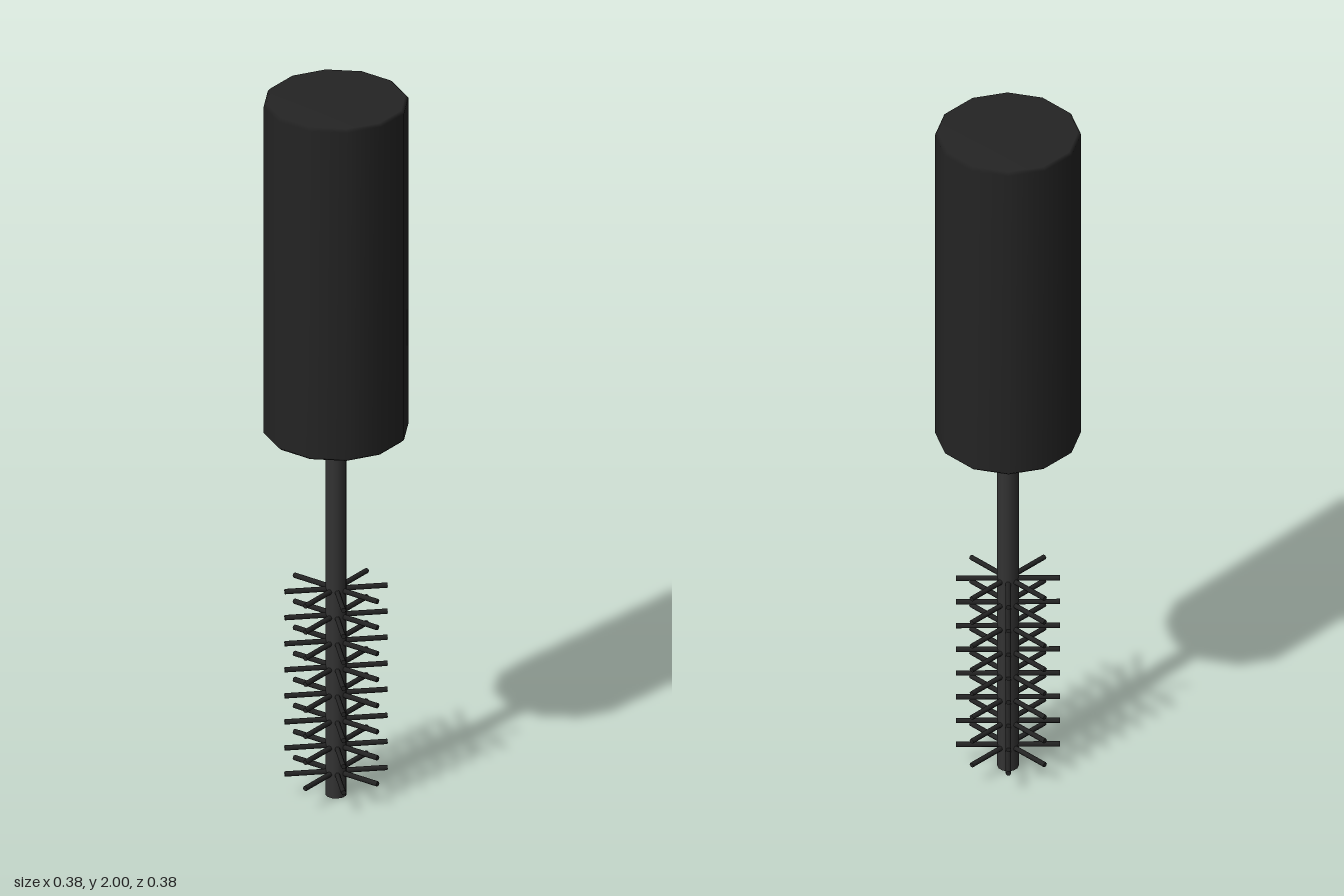
import * as THREE from 'three';

const material = (color) => new THREE.MeshStandardMaterial({ color });

function addMesh(parent, name, geometry, mat) {
  const mesh = new THREE.Mesh(geometry, mat);
  mesh.name = name;
  parent.add(mesh);
  return mesh;
}

export function createModel() {
  const model = new THREE.Group();
  model.name = 'mascaraWand';
  const black = material(0x242424);
  const rodGrey = material(0x333333);

  // Twelve-sided handle cap with a fine chamfer at both ends
  const profile = [
    [0, 1.045], [0.182, 1.045], [0.19, 1.053], [0.19, 1.992], [0.182, 2], [0, 2],
  ].map(([r, y]) => new THREE.Vector2(r, y));
  addMesh(model, 'handleCap', new THREE.LatheGeometry(profile, 12), black);

  // Thin rod running from the tip up into the cap
  const rod = addMesh(model, 'rod', new THREE.CylinderGeometry(0.028, 0.028, 1.06, 12), rodGrey);
  rod.position.y = 0.53;

  // Brush: eight rows of eight bristles radiating from the rod
  const brush = new THREE.Group();
  brush.name = 'brush';
  model.add(brush);
  const length = 0.135;
  const bristle = new THREE.CylinderGeometry(0.007, 0.007, length, 6);
  bristle.rotateZ(-Math.PI / 2).translate(length / 2, 0, 0);
  for (let row = 0; row < 8; row++) {
    for (let i = 0; i < 8; i++) {
      const mesh = addMesh(brush, 'bristle', bristle, black);
      mesh.position.y = 0.067 + row * 0.075;
      mesh.rotation.y = (i * Math.PI) / 4;
    }
  }
  return model;
}
